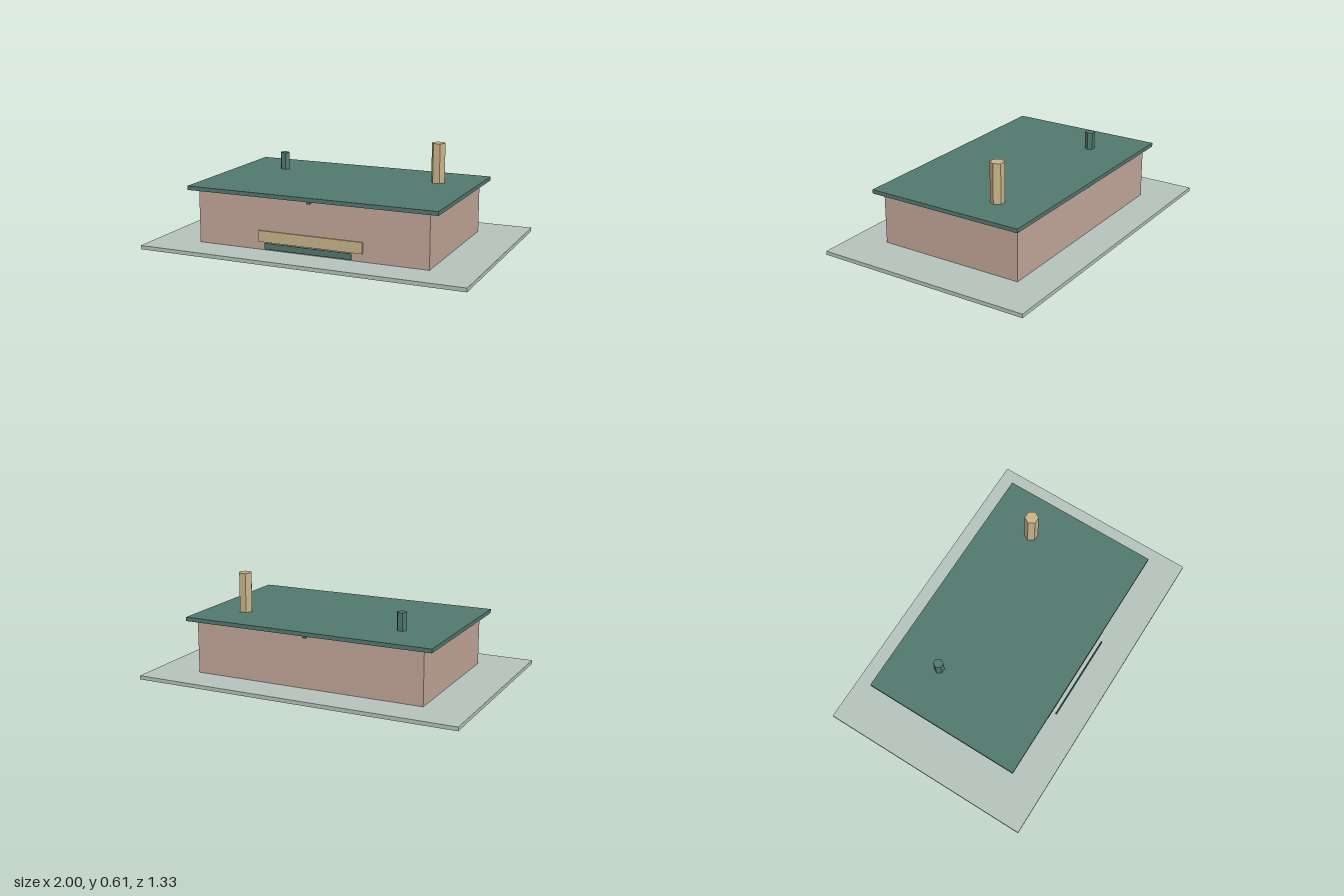
import * as THREE from 'three';

const paint = (name, color) => {
  const m = new THREE.MeshStandardMaterial({ color });
  m.name = name;
  return m;
};

export function createModel() {
  const group = new THREE.Group();
  const stone = paint('pale stone', 0xb5c2bb);
  const plaster = paint('pink plaster', 0xc2a698);
  const green = paint('dark green', 0x51786e);
  const sand = paint('sand', 0xc8b488);

  const add = (name, geometry, material, x, y, z) => {
    const mesh = new THREE.Mesh(geometry, material);
    mesh.name = name;
    mesh.position.set(x, y, z);
    group.add(mesh);
  };
  // Box given by its width, depth and vertical extent
  const box = (name, material, w, d, y0, y1, x = 0, z = 0) =>
    add(name, new THREE.BoxGeometry(w, y1 - y0, d), material, x, (y0 + y1) / 2, z);
  // Hexagonal stack with corners along x
  const stack = (name, material, r, y0, y1, x, z) => {
    const geometry = new THREE.CylinderGeometry(r, r, y1 - y0, 6).rotateY(Math.PI / 2).toNonIndexed();
    geometry.computeVertexNormals();
    add(name, geometry, material, x, (y0 + y1) / 2, z);
  };

  // Ground slab, walls and flat roof
  box('baseSlab', stone, 2, 1.334, 0, 0.023);
  box('walls', plaster, 1.44, 0.906, 0.023, 0.342);
  box('roof', green, 1.556, 0.98, 0.342, 0.366);

  // Roof stacks
  stack('chimney', sand, 0.042, 0.366, 0.605, 0.537, -0.202);
  stack('ventPipe', green, 0.03, 0.366, 0.472, -0.483, -0.202);

  // Front panel and the low rail before it
  box('frontPanel', sand, 0.654, 0.008, 0.07, 0.137, 0, 0.457);
  box('frontRail', green, 0.544, 0.006, 0.037, 0.073, 0, 0.484);

  // Small eave brackets at the middle of each wall
  for (const s of [-1, 1]) {
    box('eaveBracket', green, 0.02, 0.02, 0.326, 0.342, 0, s * 0.463);
    box('eaveBracket', green, 0.02, 0.02, 0.326, 0.342, s * 0.73, 0);
  }
  return group;
}
